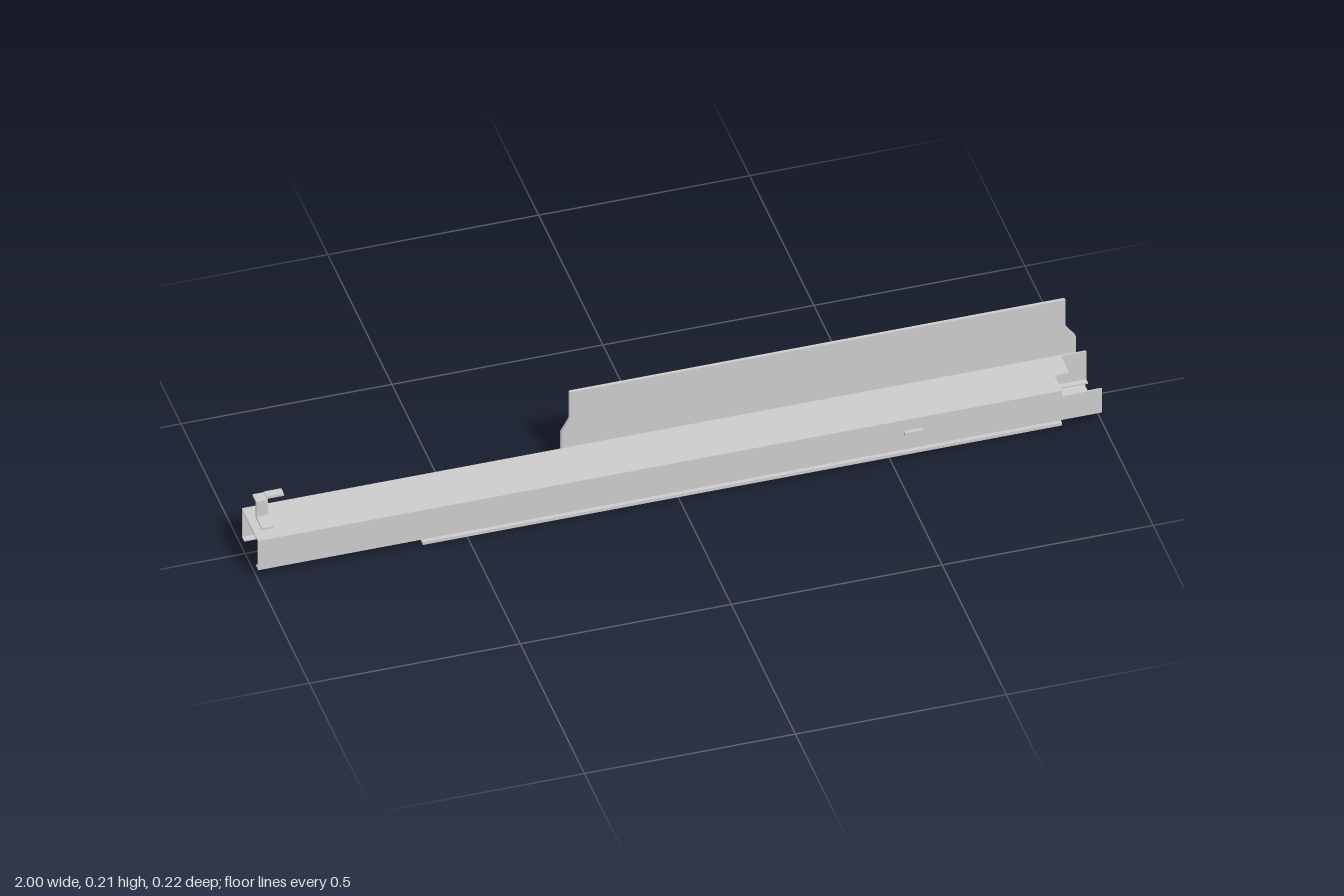
import * as THREE from 'three';

const grey = new THREE.MeshStandardMaterial({ color: 0xcccccc, flatShading: true });
const dark = new THREE.MeshStandardMaterial({ color: 0xaaaaaa, flatShading: true });

export function createModel() {
  const model = new THREE.Group();

  // Box given by its limits along each axis
  function box(parent, name, [x0, x1], [y0, y1], [z0, z1], material = grey) {
    const mesh = new THREE.Mesh(new THREE.BoxGeometry(x1 - x0, y1 - y0, z1 - z0), material);
    mesh.position.set((x0 + x1) / 2, (y0 + y1) / 2, (z0 + z1) / 2);
    mesh.name = name;
    parent.add(mesh);
  }
  // Flat plate from an outline, extruded by depth
  function plate(parent, name, points, depth) {
    const shape = new THREE.Shape(points.map(([x, y]) => new THREE.Vector2(x, y)));
    const geometry = new THREE.ExtrudeGeometry(shape, { depth, bevelEnabled: false });
    const mesh = new THREE.Mesh(geometry, grey);
    mesh.name = name;
    parent.add(mesh);
    return mesh;
  }
  function group(name) {
    const g = new THREE.Group();
    g.name = name;
    model.add(g);
    return g;
  }

  // Outer channel rail, open below, with its top notched at the left end
  const rail = group('outerRail');
  const top = plate(rail, 'railTop', [
    [-1, -0.102], [0.905, -0.102], [0.905, -0.043], [0.94, -0.043], [0.94, 0.021],
    [1, 0.021], [1, 0.025], [-1, 0.025],
  ], 0.004);
  top.rotation.x = -Math.PI / 2;
  top.position.y = 0.108;
  const front = plate(rail, 'railFrontWall', [
    [-1, 0.028], [1, 0.028], [1, 0.096], [0.905, 0.096], [0.905, 0.108], [-1, 0.108],
  ], 0.004);
  front.position.z = 0.098;
  box(rail, 'railBackWall', [-1, 1], [0.028, 0.108], [-0.025, -0.021]);
  box(rail, 'railFrontLip', [-1, 1], [0.028, 0.032], [0.086, 0.098]);
  box(rail, 'railBackLip', [-1, 1], [0.028, 0.032], [-0.021, -0.008]);
  box(rail, 'frontPeg', [0.53, 0.573], [0.073, 0.081], [0.102, 0.111]);

  // Inner slider with a flange along its lower front edge
  const slider = group('innerSlider');
  box(slider, 'sliderBody', [-0.61, 0.905], [0.019, 0.091], [-0.004, 0.082]);
  box(slider, 'sliderFlange', [-0.61, 0.905], [0.012, 0.02], [0.074, 0.102]);

  // Bent hook at the right end of the rail
  const hook = group('endHook');
  box(hook, 'hookFoot', [-0.98, -0.953], [0.112, 0.117], [0.017, 0.066]);
  box(hook, 'hookUpright', [-0.98, -0.953], [0.117, 0.155], [0.017, 0.022]);
  box(hook, 'hookTop', [-0.98, -0.953], [0.155, 0.16], [-0.008, 0.022]);
  box(hook, 'hookFinger', [-0.953, -0.912], [0.155, 0.162], [-0.008, 0.012]);

  // Bracket under the rail with a tall back panel
  const bracket = group('panelBracket');
  box(bracket, 'bracketBase', [-0.22, 1], [0, 0.008], [-0.101, 0.053]);
  box(bracket, 'bracketLip', [-0.22, 1], [0.008, 0.019], [0.046, 0.053]);
  const panel = plate(bracket, 'backPanel', [
    [-0.22, 0], [1, 0], [1, 0.095], [0.975, 0.13], [0.975, 0.206],
    [-0.2, 0.206], [-0.2, 0.13], [-0.22, 0.095],
  ], 0.008);
  panel.position.z = -0.109;

  // Stepped block lying on the bracket
  const block = group('driveBlock');
  box(block, 'wideBlock', [-0.1, 0.295], [0.008, 0.046], [-0.087, -0.032], dark);
  box(block, 'narrowBlock', [0.295, 0.625], [0.008, 0.046], [-0.087, -0.051], dark);

  return model;
}
